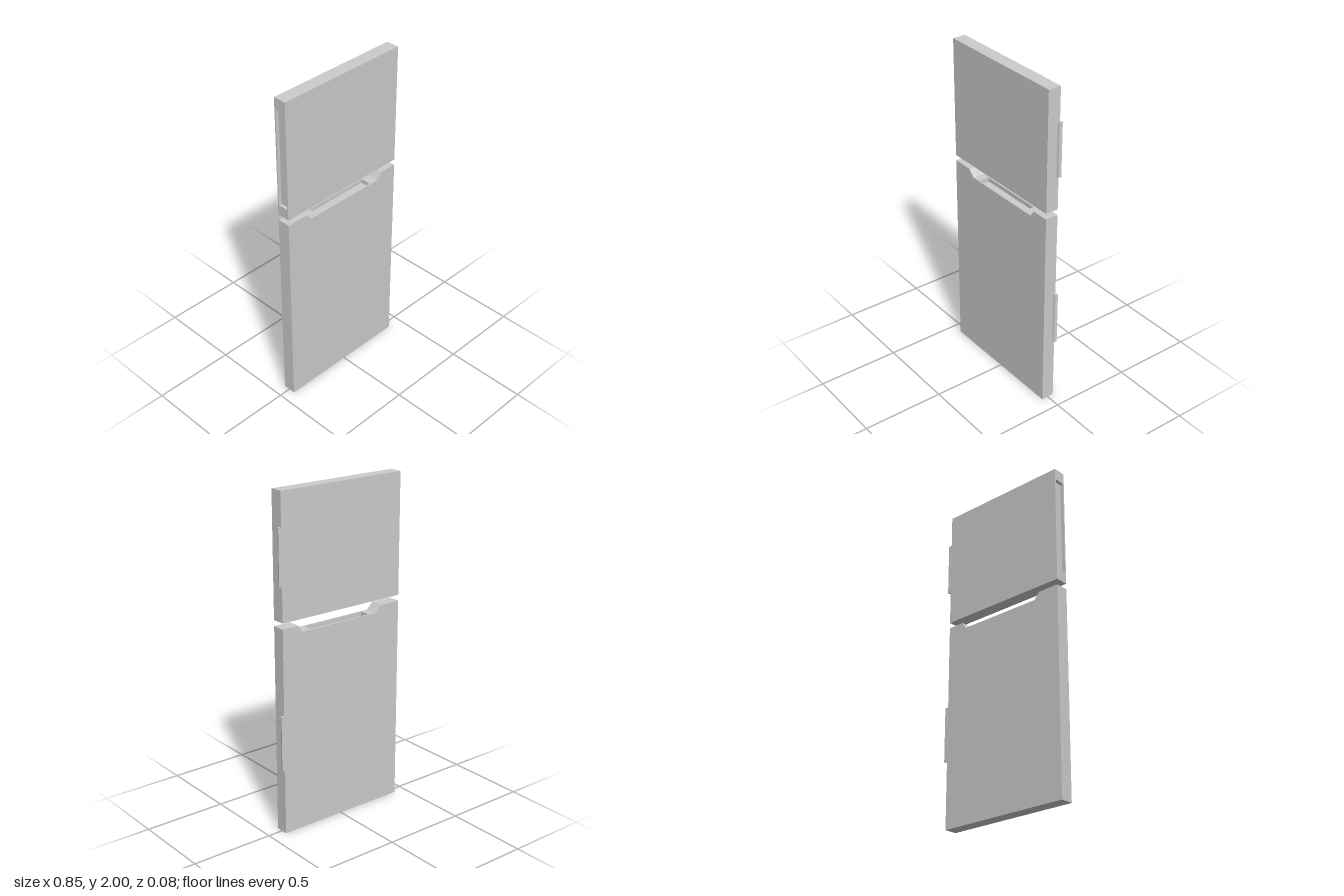
import * as THREE from 'three';
import { mergeGeometries } from 'three/addons/utils/BufferGeometryUtils.js';

const X0 = -0.427, X1 = 0.406, Z0 = -0.039, Z1 = 0.04;

// Flat-shaded geometry from convex polygons (corners counter-clockwise from outside)
function polygons(faces) {
  const points = [];
  for (const f of faces)
    for (let i = 1; i < f.length - 1; i++) points.push(...f[0], ...f[i], ...f[i + 1]);
  const geometry = new THREE.BufferGeometry();
  geometry.setAttribute('position', new THREE.Float32BufferAttribute(points, 3));
  geometry.computeVertexNormals();
  return geometry;
}

// Skin a run of rings, each counter-clockwise seen from the end of the run
function loft(rings, capStart = true, capEnd = true) {
  const faces = [];
  for (let r = 0; r < rings.length - 1; r++) {
    const a = rings[r], b = rings[r + 1];
    a.forEach((p, i) => {
      const j = (i + 1) % a.length;
      faces.push([p, a[j], b[j], b[i]]);
    });
  }
  if (capStart) faces.push([...rings[0]].reverse());
  if (capEnd) faces.push(rings[rings.length - 1]);
  return polygons(faces);
}

const ringX = (x, z0, z1, y0, y1) => [[x, y0, z0], [x, y0, z1], [x, y1, z1], [x, y1, z0]];
const ringY = (y, x0, x1, z0, z1) => [[x0, y, z1], [x1, y, z1], [x1, y, z0], [x0, y, z0]];

// Upper door: slab with a grip pocket sunk into its -x edge
function upperDoor() {
  return loft([
    ringX(X1, Z0, Z1, 1.275, 2),
    ringX(X0, Z0, Z1, 1.275, 2),
    ringX(X0, -0.031, 0.032, 1.34, 1.93),
    ringX(X0 + 0.02, -0.031, 0.032, 1.34, 1.93),
  ]);
}

// Lower door: slab with a notched top edge and a grip slot in the notch floor
function lowerDoor() {
  const top = [[X0, 1.24], [-0.295, 1.24], [-0.258, 1.2], [0.272, 1.2], [0.3, 1.24], [X1, 1.24]];
  const front = top.map(([x, y]) => [x, y, Z1]);
  const back = top.map(([x, y]) => [x, y, Z0]);
  const rim = [...front, ...back.reverse()];
  const base = rim.map(([x, , z]) => [x, 0, z]);
  back.reverse();
  const topFaces = [0, 1, 3, 4].map((i) => [front[i], front[i + 1], back[i + 1], back[i]]);
  const slot = loft([
    ringY(1.2, -0.258, 0.272, Z0, Z1),
    ringY(1.2, -0.205, 0.21, -0.03, 0.031),
    ringY(1.175, -0.205, 0.21, -0.03, 0.031),
  ], false, true);
  return mergeGeometries([loft([base, rim], true, false), polygons(topFaces), slot]);
}

// Hinge strip with a tapered section, on the +x edge near the back
function hinge(y0, y1) {
  const section = [[X1, -0.022], [0.421, -0.027], [0.426, -0.041], [X1, -0.041]];
  return loft([y0, y1].map((y) => section.map(([x, z]) => [x, y, z])));
}

export function createModel() {
  const model = new THREE.Group();
  model.name = 'doorPair';
  const material = new THREE.MeshStandardMaterial({ color: 0xcccccc, flatShading: true });
  const add = (name, geometry) => {
    const mesh = new THREE.Mesh(geometry, material);
    mesh.name = name;
    model.add(mesh);
  };
  add('upperDoor', upperDoor());
  add('lowerDoor', lowerDoor());
  add('upperHinge', hinge(1.48, 1.805));
  add('lowerHinge', hinge(0.4, 0.73));
  return model;
}
